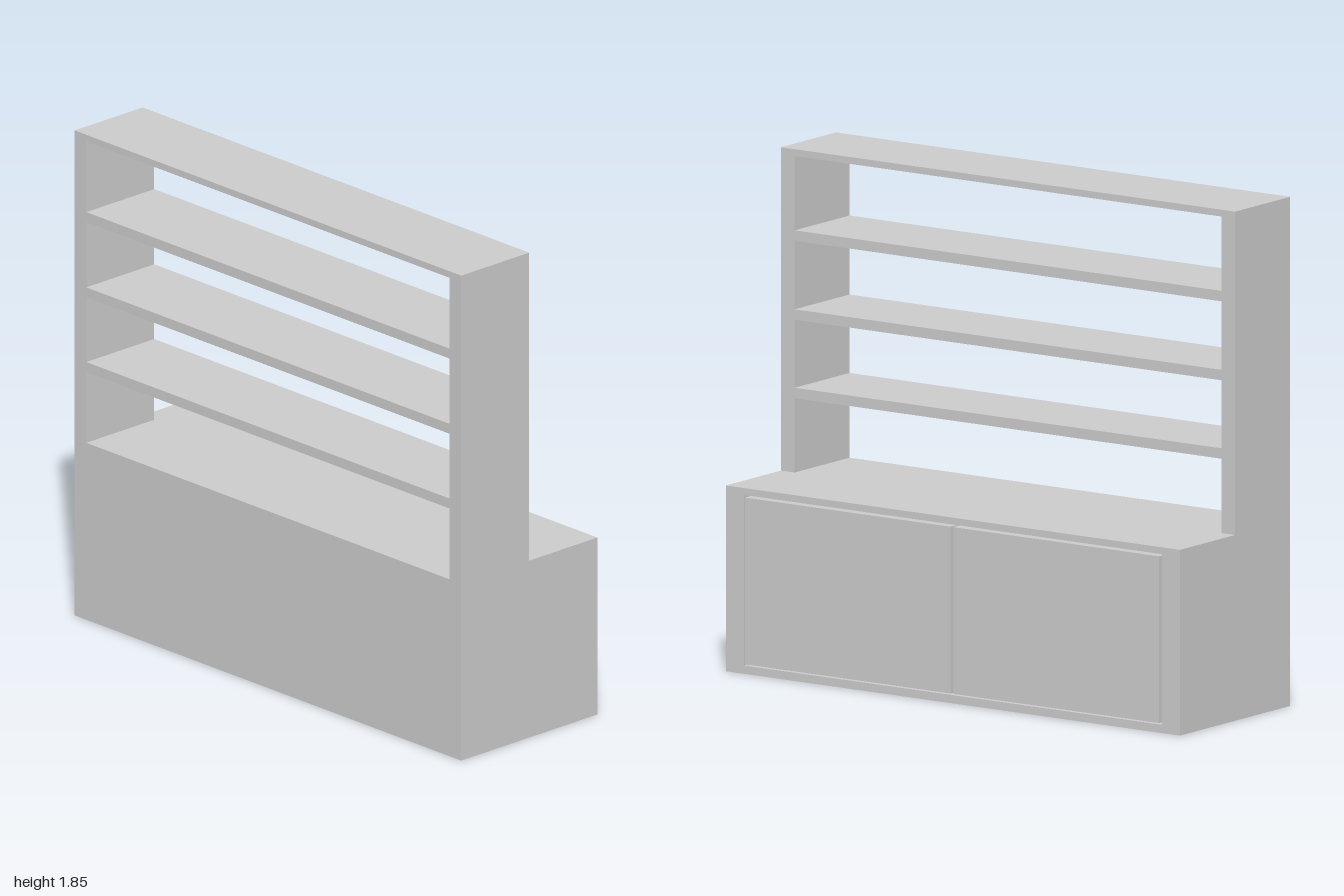
import * as THREE from 'three';

const BACK = -0.337, HUTCH_FRONT = -0.003, RECESS = 0.3, FRONT = 0.332, DOOR_FRONT = 0.337;
const BASE_TOP = 0.675, TOP = 1.85, SIDE = 0.06;

export function createModel() {
  const group = new THREE.Group();
  group.name = 'shelfCabinet';
  const material = new THREE.MeshStandardMaterial({ color: 0xcccccc });

  const add = (name, geometry) => {
    const mesh = new THREE.Mesh(geometry, material);
    mesh.name = name;
    group.add(mesh);
    return mesh;
  };
  // Box given by its limits on each axis
  const box = (name, x0, x1, y0, y1, z0, z1) =>
    add(name, new THREE.BoxGeometry(x1 - x0, y1 - y0, z1 - z0))
      .position.set((x0 + x1) / 2, (y0 + y1) / 2, (z0 + z1) / 2);

  // Deep lower cabinet
  box('cabinetBody', BACK, RECESS, 0, BASE_TOP, -1, 1);

  // Frame around the door opening, facing +x
  const rect = (path, w, y0, y1) =>
    path.moveTo(-w, y0).lineTo(w, y0).lineTo(w, y1).lineTo(-w, y1).closePath();
  const frame = new THREE.Shape();
  rect(frame, 1, 0, BASE_TOP);
  const opening = new THREE.Path();
  rect(opening, 0.92, 0.03, 0.65);
  frame.holes.push(opening);
  const frameGeometry = new THREE.ExtrudeGeometry(frame, { depth: FRONT - RECESS, bevelEnabled: false });
  frameGeometry.rotateY(Math.PI / 2).translate(RECESS, 0, 0);
  add('doorFrame', frameGeometry);

  // Two doors, standing slightly proud of the frame with a thin gap all round
  box('doorNear', RECESS, DOOR_FRONT, 0.036, 0.642, 0.006, 0.912);
  box('doorFar', RECESS, DOOR_FRONT, 0.036, 0.642, -0.912, -0.006);

  // Open shelf unit: uprights, top board and shelves
  box('uprightNear', BACK, HUTCH_FRONT, BASE_TOP, TOP, 1 - SIDE, 1);
  box('uprightFar', BACK, HUTCH_FRONT, BASE_TOP, TOP, -1, SIDE - 1);
  box('topBoard', BACK, HUTCH_FRONT, 1.825, TOP, SIDE - 1, 1 - SIDE);
  [0.945, 1.23, 1.517].forEach((y, i) =>
    box(`shelf${i + 1}`, BACK, HUTCH_FRONT, y, y + 0.038, SIDE - 1, 1 - SIDE));

  return group;
}
